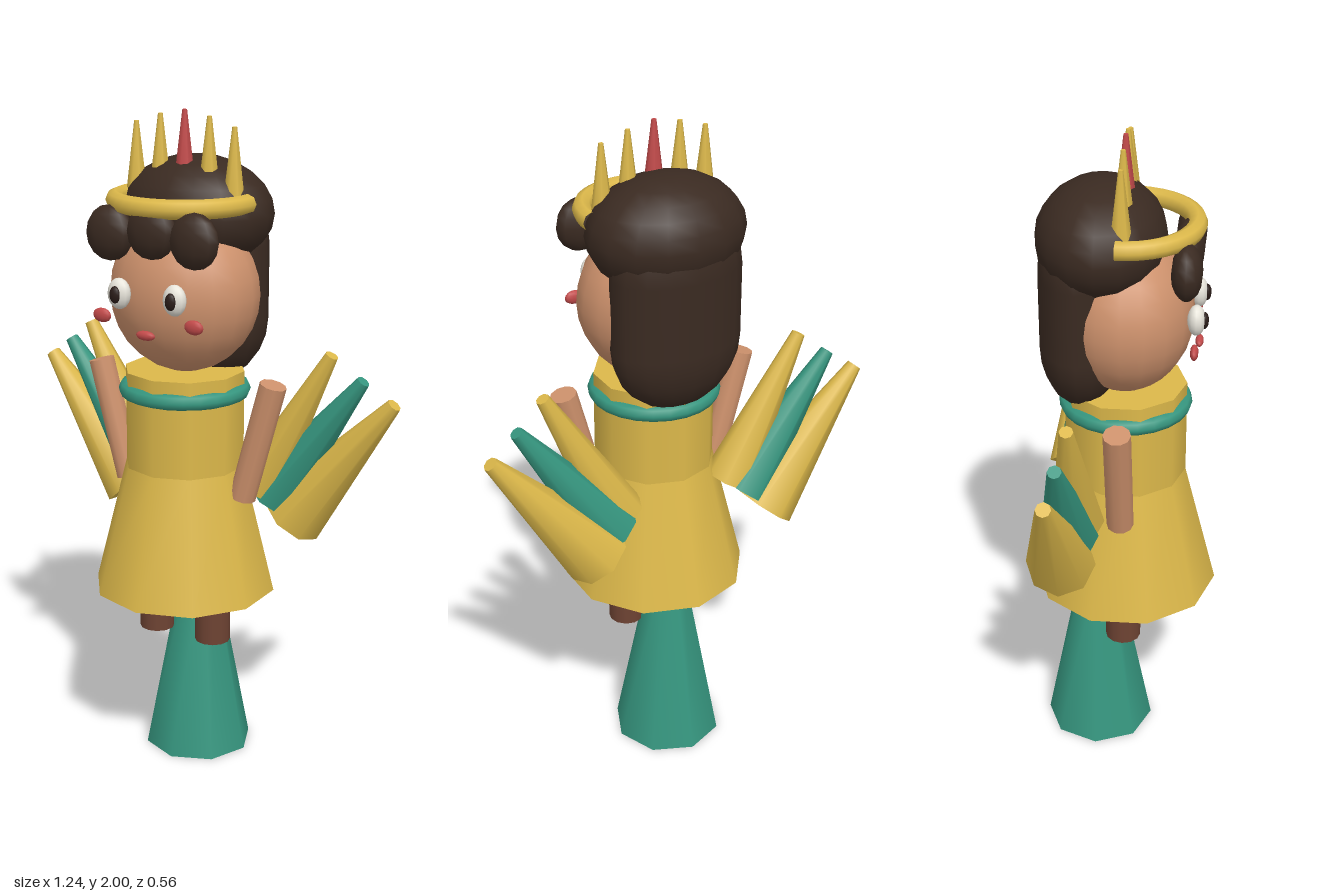
import * as THREE from 'three';

const mat = (name, color) => {
  const m = new THREE.MeshStandardMaterial({ color });
  m.name = name;
  return m;
};

export function createModel() {
  const gold = mat('gold', 0xdcb84a);
  const teal = mat('teal', 0x36967f);
  const skin = mat('skin', 0xcd916c);
  const hair = mat('dark hair', 0x3a2a21);
  const brown = mat('brown', 0x6e4333);
  const red = mat('red', 0xc24a4a);
  const white = mat('eye white', 0xe9e6dc);
  const black = mat('pupil', 0x2a1c18);

  const root = new THREE.Group();
  root.name = 'wingedFigure';

  const add = (name, geometry, material, x = 0, y = 0, z = 0) => {
    const mesh = new THREE.Mesh(geometry, material);
    mesh.name = name;
    mesh.position.set(x, y, z);
    root.add(mesh);
    return mesh;
  };

  // Ellipsoid with its own radii
  const blob = (name, material, [x, y, z], [rx, ry, rz], w = 16, h = 12) =>
    add(name, new THREE.SphereGeometry(1, w, h).scale(rx, ry, rz), material, x, y, z);

  // Tapered rod running from point a to point b
  const rod = (name, material, a, b, ra, rb, sides) => {
    const from = new THREE.Vector3(...a);
    const dir = new THREE.Vector3(...b).sub(from);
    const length = dir.length();
    const mesh = add(name, new THREE.CylinderGeometry(rb, ra, length, sides), material);
    mesh.position.copy(from).addScaledVector(dir, 0.5);
    mesh.quaternion.setFromUnitVectors(new THREE.Vector3(0, 1, 0), dir.normalize());
    return mesh;
  };

  // Stand, dress and collar
  rod('stand', teal, [0, 0, -0.085], [0, 0.6, -0.085], 0.168, 0.052, 8);
  rod('skirt', gold, [0, 0.566, 0], [0, 0.958, 0], 0.278, 0.18, 10);
  rod('bodice', gold, [0, 0.958, 0], [0, 1.25, 0], 0.18, 0.18, 10);
  add('collar', new THREE.TorusGeometry(0.172, 0.024, 8, 24).rotateX(Math.PI / 2), teal, 0, 1.19, 0);

  // Head and hair
  blob('head', skin, [0, 1.48, 0], [0.228, 0.235, 0.198], 18, 14);
  blob('hairCap', hair, [0, 1.705, -0.068], [0.236, 0.165, 0.187], 16, 12);
  const backHair = new THREE.CapsuleGeometry(0.2, 0.22, 6, 16).scale(1, 1, 0.62);
  add('backHair', backHair, hair, 0, 1.5, -0.125);
  blob('middleFringe', hair, [0, 1.68, 0.178], [0.08, 0.08, 0.045], 10, 8);

  // Mouth
  blob('mouth', red, [0, 1.39, 0.212], [0.032, 0.014, 0.012], 10, 8);

  // Crown: half ring across the brow and a row of five spikes
  const arc = Math.PI + 0.12;
  const band = new THREE.TorusGeometry(0.199, 0.028, 8, 20, arc);
  band.rotateZ(-0.06).rotateX(Math.PI / 2);
  add('crownBand', band, gold, 0, 1.748, 0);
  const tips = [2.0, 1.985, 1.96];
  for (let i = -2; i <= 2; i++) {
    const tip = tips[Math.abs(i)];
    rod('crownSpike', i === 0 ? red : gold, [i * 0.081, tip - 0.2, 0], [i * 0.081, tip, 0], 0.031, 0.007, 7);
  }

  // Paired parts; s = 1 is the left side
  for (const s of [1, -1]) {
    const side = s > 0 ? 'left' : 'right';
    rod(side + 'Leg', brown, [s * 0.1, 0.4, 0], [s * 0.1, 0.6, 0], 0.054, 0.054, 12);
    rod(side + 'Arm', skin, [s * 0.2, 0.88, 0], [s * 0.297, 1.238, 0], 0.04, 0.04, 10);

    blob(side + 'Fringe', hair, [s * 0.139, 1.665, 0.178], [0.078, 0.08, 0.045], 10, 8);
    blob(side + 'Eye', white, [s * 0.092, 1.5, 0.205], [0.036, 0.045, 0.026], 12, 10);
    blob(side + 'Pupil', black, [s * 0.092, 1.5, 0.227], [0.017, 0.025, 0.013], 10, 8);
    blob(side + 'Cheek', red, [s * 0.153, 1.43, 0.203], [0.031, 0.021, 0.012], 10, 8);

    // Wing of three overlapping feathers
    rod(side + 'InnerFeather', gold, [s * 0.19, 0.88, -0.125], [s * 0.42, 1.315, -0.125], 0.078, 0.02, 8);
    rod(side + 'MiddleFeather', teal, [s * 0.225, 0.85, -0.147], [s * 0.512, 1.245, -0.147], 0.086, 0.02, 8);
    rod(side + 'OuterFeather', gold, [s * 0.284, 0.789, -0.167], [s * 0.602, 1.183, -0.167], 0.103, 0.022, 8);
  }

  return root;
}
